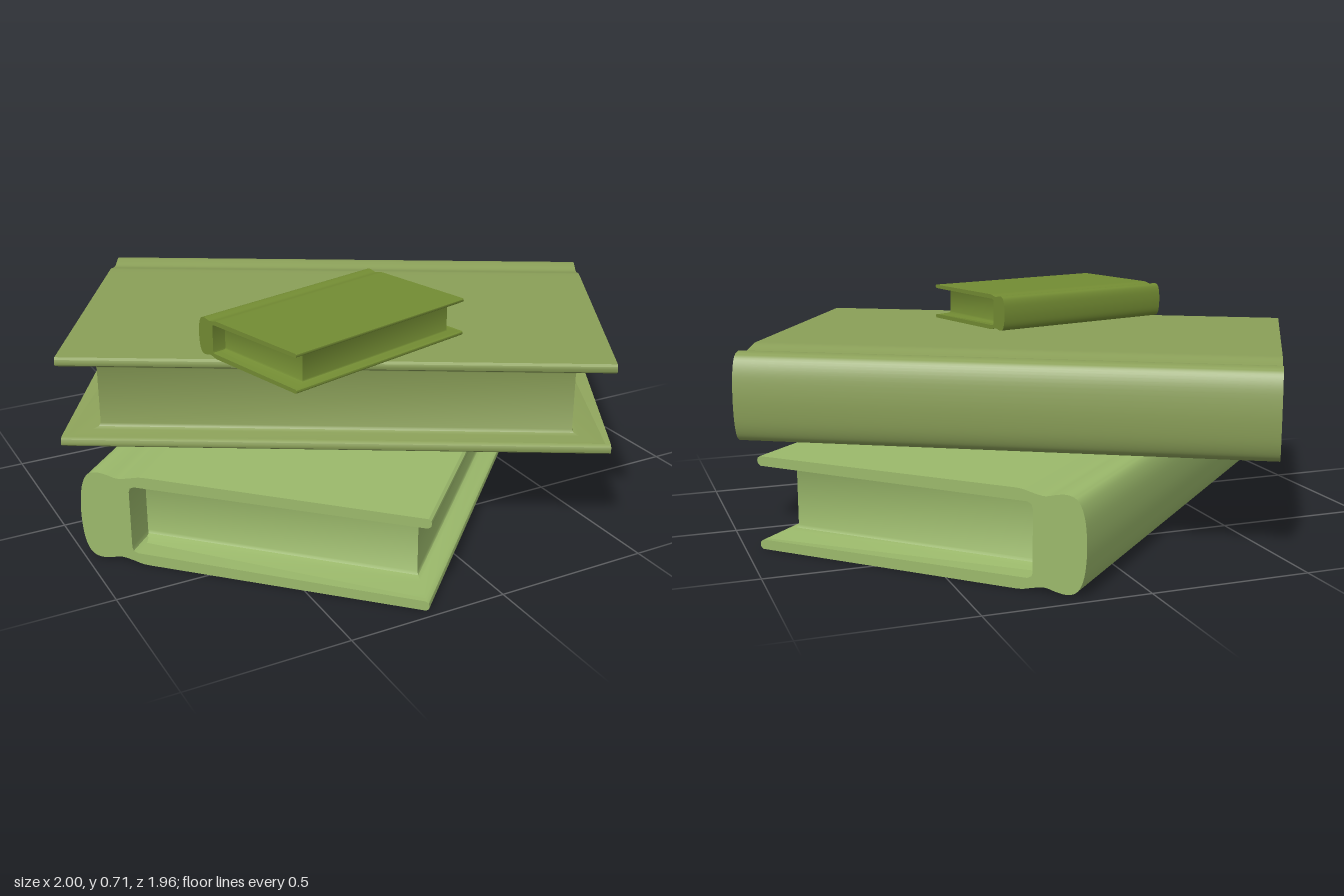
import * as THREE from 'three';
import { toCreasedNormals } from 'three/addons/utils/BufferGeometryUtils.js';

const W = 1.083, L = 1.684, H = 0.294; // cover width, length, thickness of a full-size book
const HALF = H / 2, SPINE = -W / 2, FORE = W / 2;

// One-piece cover: rounded spine, hinge grooves and two boards, extruded along the length
function coverGeometry() {
  const upper = [[0.005, 0.07], [0.017, 0.113], [0.034, 0.135], [0.06, 0.143], [0.09, 0.140],
    [0.125, 0.132], [0.16, 0.137], [0.2, 0.146], [0.25, HALF]];
  const vec = (p, sign) => new THREE.Vector2(SPINE + p[0], sign * p[1]);
  const curve = new THREE.SplineCurve([
    ...upper.slice().reverse().map(p => vec(p, -1)),
    new THREE.Vector2(SPINE, 0),
    ...upper.map(p => vec(p, 1)),
  ]);
  const outer = curve.getPoints(72);
  outer.forEach(p => { p.y = THREE.MathUtils.clamp(p.y, -HALF, HALF); });

  // board tip and inside faces, from the upper fore edge round to the lower one
  const inside = [[FORE - 0.01, HALF], [FORE - 0.002, HALF - 0.006], [FORE, HALF - 0.014],
    [FORE - 0.003, HALF - 0.024], [FORE - 0.012, HALF - 0.03],
    [SPINE + 0.18, HALF - 0.036], [SPINE + 0.167, HALF - 0.042], [SPINE + 0.163, HALF - 0.055]];
  const points = [
    ...outer,
    ...inside.map(([x, y]) => new THREE.Vector2(x, y)),
    ...inside.slice().reverse().map(([x, y]) => new THREE.Vector2(x, -y)),
  ];
  const geo = new THREE.ExtrudeGeometry(new THREE.Shape(points), { depth: L, bevelEnabled: false });
  geo.translate(0, 0, -L / 2);
  return toCreasedNormals(geo, 0.6);
}

// Page block: stacked rectangles that flare out to meet the boards
function pagesGeometry() {
  // [y, inset from fore edge, inset from both ends]
  const half = [[0.118, 0.012, 0.008], [0.108, 0.05, 0.09], [0.102, 0.061, 0.108], [0.092, 0.065, 0.113]];
  const rings = [...half.map(([y, a, b]) => [-y, a, b]), ...half.slice().reverse()];
  const back = SPINE + 0.15;
  const pos = [], index = [];
  rings.forEach(([y, a, b]) => {
    const x = FORE - a, z = L / 2 - b;
    pos.push(back, y, z, x, y, z, x, y, -z, back, y, -z);
  });
  for (let r = 0; r < rings.length - 1; r++) {
    for (let i = 0; i < 4; i++) {
      const a = r * 4 + i, b = r * 4 + (i + 1) % 4;
      index.push(a, b, b + 4, a, b + 4, a + 4);
    }
  }
  const geo = new THREE.BufferGeometry();
  geo.setAttribute('position', new THREE.Float32BufferAttribute(pos, 3));
  geo.setIndex(index);
  return toCreasedNormals(geo, 0.7);
}

export function createModel() {
  const model = new THREE.Group();
  model.name = 'bookStack';
  const cover = coverGeometry(), pages = pagesGeometry();

  const books = [
    { name: 'bottomBook', color: 0x9bb96b, at: [-0.0225, 0, -0.0025], turn: -45, scale: 1 },
    { name: 'middleBook', color: 0x8a9f58, at: [0, H, -0.005], turn: -120, scale: 1 },
    { name: 'smallBook', color: 0x738c33, at: [-0.205, 0.592, 0.335], turn: -75, scale: 0.41 },
  ];
  for (const { name, color, at, turn, scale } of books) {
    const book = new THREE.Group();
    book.name = name;
    const material = new THREE.MeshStandardMaterial({ color });
    for (const [part, geo] of [['cover', cover], ['pages', pages]]) {
      const mesh = new THREE.Mesh(geo, material);
      mesh.name = part;
      mesh.position.y = HALF;
      book.add(mesh);
    }
    book.position.set(...at);
    book.rotation.y = THREE.MathUtils.degToRad(turn);
    book.scale.setScalar(scale);
    model.add(book);
  }
  return model;
}
